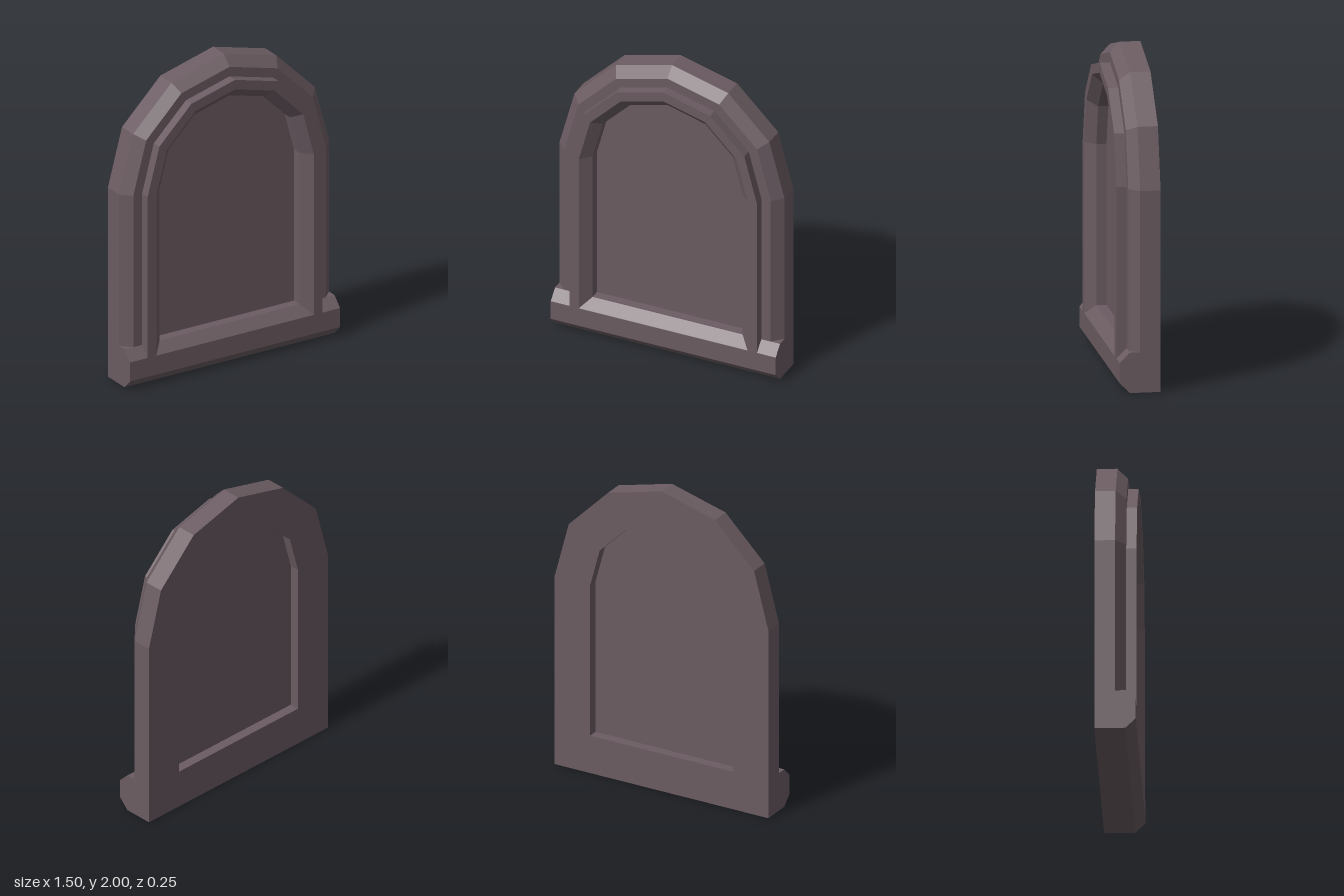
import * as THREE from 'three';

const SPRING_Y = 1.25; // height where the arch starts
const SEGMENTS = 6;

// Outline of an arch of radius r, from its right foot over the top to its left foot
function archPath(r, footY) {
  const pts = [[r, footY]];
  for (let i = 0; i <= SEGMENTS; i++) {
    const a = (i / SEGMENTS) * Math.PI;
    pts.push([r * Math.cos(a), SPRING_Y + r * Math.sin(a)]);
  }
  pts.push([-r, footY]);
  return pts;
}

// Sweep a moulding section of [radius, z] points along the arch
function mouldingGeometry(section) {
  const rails = section.map(([r, z]) =>
    archPath(r, z > 0.1 ? 0.1875 : 0.25).map(([x, y]) => [x, y, z]));
  const pos = [];
  rails.forEach((rail, k) => {
    const next = rails[(k + 1) % rails.length];
    for (let i = 0; i < rail.length - 1; i++) {
      pos.push(...rail[i], ...rail[i + 1], ...next[i + 1]);
      pos.push(...rail[i], ...next[i + 1], ...next[i]);
    }
  });
  const g = new THREE.BufferGeometry();
  g.setAttribute('position', new THREE.Float32BufferAttribute(pos, 3));
  g.computeVertexNormals();
  return g;
}

const toShape = (pts) => new THREE.Shape(pts.map(([x, y]) => new THREE.Vector2(x, y)));

export function createModel() {
  const group = new THREE.Group();
  group.name = 'archedWindow';
  const stone = new THREE.MeshStandardMaterial({ color: 0x6b5c62, flatShading: true });
  stone.name = 'mauveStone';

  const add = (name, geometry) => {
    const mesh = new THREE.Mesh(geometry, stone);
    mesh.name = name;
    group.add(mesh);
  };

  // Stepped, bevelled frame around the opening
  add('archFrame', mouldingGeometry([
    [0.5, -0.125], [0.75, -0.125], [0.75, 0], [0.6875, 0.0625],
    [0.625, 0.0625], [0.625, 0.125], [0.5625, 0.125], [0.5, 0.0625],
  ]));

  // Panel recessed from both sides
  const panel = new THREE.ExtrudeGeometry(toShape(archPath(0.5, 0.25)),
    { depth: 0.0625, bevelEnabled: false });
  panel.translate(0, 0, -0.0625);
  add('recessedPanel', panel);

  // Sill: a [z, y] section drawn out across the width
  const sill = new THREE.ExtrudeGeometry(toShape([
    [-0.125, 0], [0.0625, 0], [0.125, 0.0625],
    [0.125, 0.1875], [0.0625, 0.25], [-0.125, 0.25],
  ]), { depth: 1.5, bevelEnabled: false });
  sill.rotateY(-Math.PI / 2);
  sill.translate(0.75, 0, 0);
  add('sill', sill);

  return group;
}
